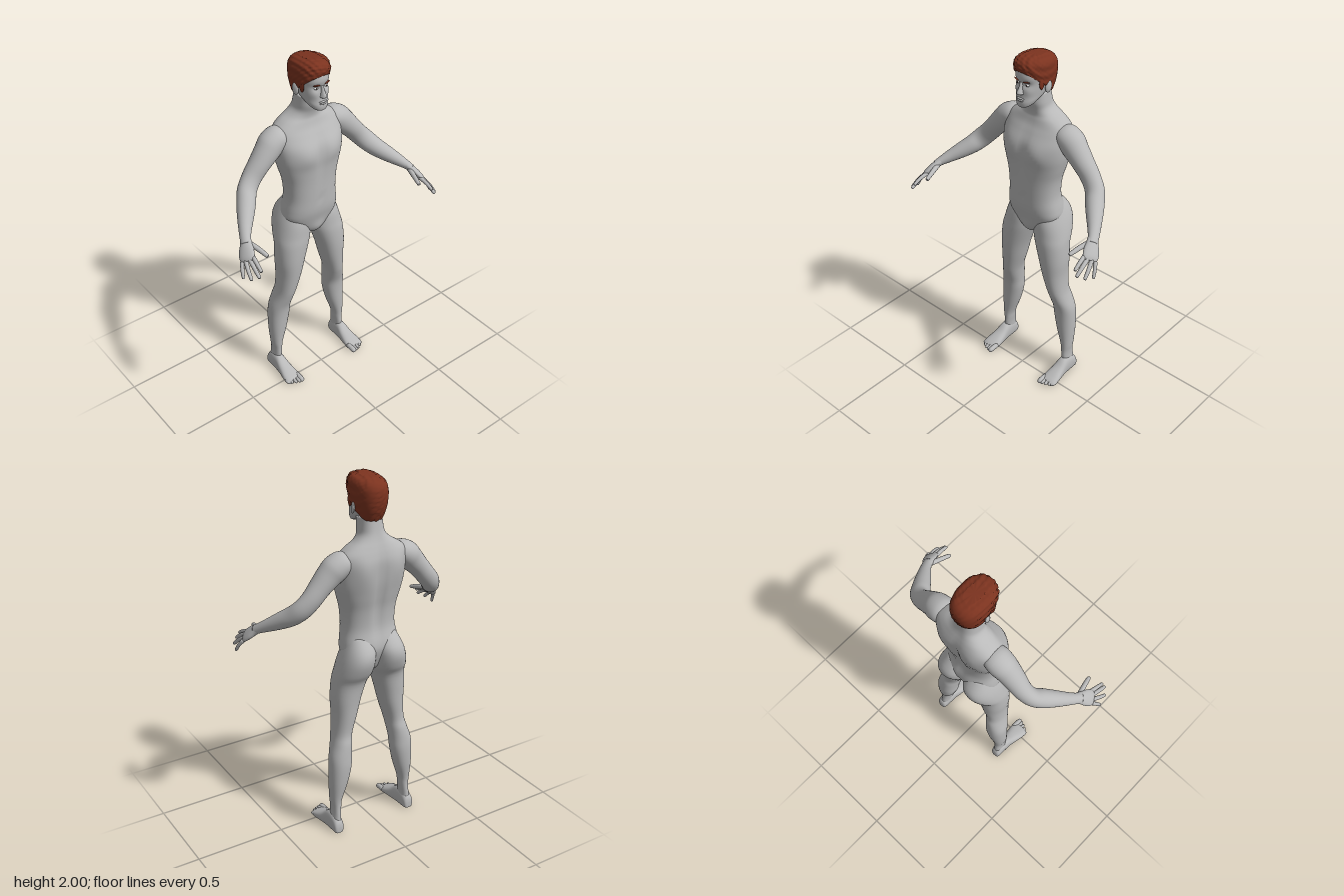
import * as THREE from 'three';

const mat = (name, color) => Object.assign(new THREE.MeshStandardMaterial({ color }), { name });
const skin = mat('skin', 0xb9b9b9);
const hairMat = mat('auburn hair', 0x7c331f);
const eyeMat = mat('eye white', 0xdedede);
const irisMat = mat('dark iris', 0x3a2a24);

const gauss = (d, w) => Math.exp(-(d * d) / (w * w));
const spow = (s, e) => Math.sign(s) * Math.abs(s) ** e;

// Smooth closed skin over elliptical rings: [centre xyz, axis u xyz, axis v xyz], growing along -(u x v)
function loft(rows, { n = 32, sub = 4, e = 1, bend } = {}) {
  const rings = [];
  const at = (i) => rows[Math.min(Math.max(i, 0), rows.length - 1)];
  for (let i = 0; i < rows.length - 1; i++) {
    for (let s = 0; s < sub; s++) {
      const t = s / sub, a = at(i - 1), b = at(i), c = at(i + 1), d = at(i + 2);
      rings.push(b.map((_, k) => b[k] + 0.5 * t * (c[k] - a[k]
        + t * (2 * a[k] - 5 * b[k] + 4 * c[k] - d[k] + t * (3 * (b[k] - c[k]) + d[k] - a[k])))));
    }
  }
  rings.push(at(rows.length - 1));
  const pos = [], idx = [];
  const add = (x, y, z) => {
    const p = new THREE.Vector3(x, y, z);
    if (bend) bend(p);
    pos.push(p.x, p.y, p.z);
  };
  for (const r of rings) {
    for (let j = 0; j < n; j++) {
      const a = (j / n) * Math.PI * 2, c = spow(Math.cos(a), e), s = spow(Math.sin(a), e);
      add(...[0, 1, 2].map((k) => r[k] + r[k + 3] * c + r[k + 6] * s));
    }
  }
  for (let i = 0; i < rings.length - 1; i++) {
    for (let j = 0; j < n; j++) {
      const a = i * n + j, b = i * n + (j + 1) % n;
      idx.push(a, a + n, b, b, a + n, b + n);
    }
  }
  const last = (rings.length - 1) * n, cap = rings.length * n;
  add(...rings[0].slice(0, 3));
  add(...rings[rings.length - 1].slice(0, 3));
  for (let j = 0; j < n; j++) {
    const k = (j + 1) % n;
    idx.push(cap, j, k, cap + 1, last + k, last + j);
  }
  const g = new THREE.BufferGeometry();
  g.setAttribute('position', new THREE.Float32BufferAttribute(pos, 3));
  g.setIndex(idx);
  g.computeVertexNormals();
  return g;
}

// Ring from x range, front point (y, z) and back point (y, z)
const slab = (x0, x1, yF, zF, yB, zB) => [(x0 + x1) / 2, (yF + yB) / 2, (zF + zB) / 2,
  (x1 - x0) / 2, 0, 0, 0, (yF - yB) / 2, (zF - zB) / 2];
const sym = ([w, yF, zF, yB, zB]) => slab(-w, w, yF, zF, yB, zB);

// Rings along a path of [x, y, z, radius along "wide", radius across]
function limb(points, wide = [0, 0, 1]) {
  const v3 = points.map((p) => new THREE.Vector3(p[0], p[1], p[2]));
  return points.map((p, i) => {
    const t = v3[Math.min(i + 1, v3.length - 1)].clone().sub(v3[Math.max(i - 1, 0)]).normalize();
    const u = new THREE.Vector3(...wide);
    u.addScaledVector(t, -u.dot(t)).normalize();
    const v = u.clone().cross(t).multiplyScalar(p[4] ?? p[3]);
    u.multiplyScalar(p[3]);
    return [p[0], p[1], p[2], ...u.toArray(), ...v.toArray()];
  });
}
// Finger or toe with a rounded tip
function digit(a, b, c, r) {
  const end = c.map((v, k) => v + (v - b[k]) * 0.12);
  return limb([[...a, r * 1.1], [...b, r], [...c, r * 0.8], [...end, r * 0.35]]);
}
// Mirrored rings keep their winding by turning v around
const mirror = (rows, s) => (s > 0 ? rows : rows.map((r) => r.map((v, k) => (k % 3 === 0 ? -v : v) * (k > 5 ? -1 : 1))));

// Chest relief, spine groove and navel
function torsoRelief(p) {
  const ax = Math.abs(p.x);
  if (p.z > -0.1) {
    p.z += 0.012 * gauss(ax - 0.085, 0.06) * gauss(p.y - 1.48, 0.06);
    p.z -= 0.008 * gauss(p.x, 0.02) * gauss(p.y - 1.45, 0.13);
    p.z -= 0.008 * gauss(p.x, 0.012) * gauss(p.y - 1.19, 0.012);
    p.z += 0.012 * gauss(p.x, 0.035) * gauss(p.y - 0.99, 0.035);
  } else {
    p.z += 0.018 * gauss(p.x, 0.025) * gauss(p.y - 1.38, 0.22);
    p.z -= 0.012 * gauss(ax - 0.1, 0.05) * gauss(p.y - 1.53, 0.08);
  }
}
// Eye sockets and cheeks
function faceRelief(p) {
  if (p.z < -0.06) return;
  const ax = Math.abs(p.x);
  p.z -= 0.009 * gauss(ax - 0.03, 0.018) * gauss(p.y - 1.86, 0.014);
  p.z += 0.005 * gauss(ax - 0.045, 0.02) * gauss(p.y - 1.825, 0.02);
}
// Tousled hair surface
function tousle(p) {
  const k = 0.0016 * (Math.sin(p.x * 210 + p.y * 130) + Math.sin(p.z * 230 - p.x * 90) * Math.cos(p.y * 260));
  p.x += k * Math.sign(p.x);
  p.y += k * 0.7;
  p.z += k;
}

export function createModel() {
  const model = new THREE.Group();
  model.name = 'standingFigure';
  const part = (name, geometry, material = skin) => {
    const m = new THREE.Mesh(geometry, material);
    m.name = name;
    model.add(m);
    return m;
  };
  const ball = (name, material, pos, scale) => {
    const m = part(name, new THREE.SphereGeometry(1, 20, 14), material);
    m.position.set(...pos);
    m.scale.set(...scale);
    return m;
  };

  // Torso and neck: half width, front y z, back y z
  part('torso', loft([
    [0.015, 0.935, -0.09, 0.94, -0.15], [0.045, 0.95, -0.055, 0.965, -0.18], [0.11, 0.99, -0.034, 1.0, -0.2],
    [0.162, 1.06, -0.015, 1.07, -0.225], [0.162, 1.12, -0.003, 1.12, -0.226], [0.15, 1.2, 0, 1.2, -0.208],
    [0.157, 1.3, 0.002, 1.3, -0.212], [0.178, 1.38, 0.006, 1.38, -0.227], [0.194, 1.45, 0.01, 1.45, -0.238],
    [0.2, 1.52, 0.0, 1.52, -0.242], [0.198, 1.575, -0.028, 1.575, -0.242], [0.185, 1.612, -0.05, 1.615, -0.234],
    [0.145, 1.642, -0.062, 1.65, -0.222], [0.1, 1.665, -0.068, 1.68, -0.21], [0.071, 1.695, -0.064, 1.71, -0.2],
    [0.064, 1.735, -0.052, 1.745, -0.192], [0.06, 1.78, -0.05, 1.8, -0.182],
  ].map(sym), { n: 56, e: 0.85, bend: torsoRelief }));

  // Head
  part('head', loft([
    [0.02, 1.732, 0.003, 1.75, -0.05], [0.045, 1.738, 0.017, 1.77, -0.09], [0.061, 1.762, 0.021, 1.8, -0.14],
    [0.068, 1.79, 0.016, 1.82, -0.17], [0.074, 1.83, 0.012, 1.85, -0.19], [0.078, 1.865, 0.01, 1.875, -0.2],
    [0.08, 1.9, 0.016, 1.9, -0.205], [0.077, 1.94, 0.006, 1.94, -0.198], [0.06, 1.97, -0.025, 1.97, -0.175],
    [0.025, 1.982, -0.06, 1.982, -0.13],
  ].map(sym), { n: 56, e: 0.9, bend: faceRelief }));
  part('nose', loft([
    [0.012, 1.808, 0.02, 1.806, -0.01], [0.018, 1.812, 0.036, 1.815, -0.01], [0.014, 1.824, 0.038, 1.825, -0.01],
    [0.01, 1.845, 0.025, 1.845, -0.01], [0.008, 1.872, 0.015, 1.872, -0.01],
  ].map(sym), { n: 16 }));
  ball('upperLip', skin, [0, 1.784, 0.014], [0.024, 0.005, 0.011]);
  ball('lowerLip', skin, [0, 1.774, 0.014], [0.021, 0.006, 0.011]);

  // Hair cap with a hairline sloping down to the nape
  part('hair', loft([
    [0.05, 1.935, 0.0, 1.775, -0.16], [0.079, 1.925, 0.014, 1.765, -0.178], [0.087, 1.943, 0.021, 1.82, -0.208],
    [0.088, 1.958, 0.021, 1.88, -0.222], [0.084, 1.975, 0.014, 1.935, -0.22], [0.067, 1.991, -0.007, 1.97, -0.198],
    [0.036, 1.998, -0.04, 1.988, -0.155],
  ].map(sym), { n: 72, sub: 8, e: 0.85, bend: tousle }), hairMat);

  for (const s of [1, -1]) {
    const side = s > 0 ? 'left' : 'right';
    const body = (name, rows, opt) => part(side + name, loft(mirror(rows, s), opt));

    // Face details
    ball(side + 'Ear', skin, [s * 0.084, 1.835, -0.1], [0.009, 0.032, 0.019]).rotation.set(-0.2, s * -0.3, 0);
    ball(side + 'Eye', eyeMat, [s * 0.03, 1.859, -0.003], [0.013, 0.006, 0.008]);
    ball(side + 'Iris', irisMat, [s * 0.03, 1.859, 0.003], [0.005, 0.005, 0.003]);
    ball(side + 'Brow', hairMat, [s * 0.033, 1.878, 0.007], [0.02, 0.0035, 0.005]).rotation.set(0, s * 0.3, s * 0.08);
    ball(side + 'Sideburn', hairMat, [s * 0.076, 1.865, -0.058], [0.007, 0.035, 0.018]);

    // Leg, buttock included: y, inner x, outer x, front z, back z
    body('Leg', [
      [0.03, 0.205, 0.262, -0.11, -0.19], [0.1, 0.205, 0.252, -0.1, -0.185], [0.15, 0.2, 0.252, -0.1, -0.18],
      [0.2, 0.193, 0.258, -0.098, -0.182], [0.3, 0.16, 0.263, -0.092, -0.198], [0.4, 0.137, 0.262, -0.088, -0.206],
      [0.47, 0.132, 0.256, -0.08, -0.203], [0.54, 0.125, 0.235, -0.058, -0.195], [0.6, 0.115, 0.222, -0.042, -0.182],
      [0.7, 0.085, 0.216, -0.028, -0.188], [0.8, 0.058, 0.22, -0.02, -0.195], [0.9, 0.025, 0.215, -0.02, -0.207],
      [0.96, 0.005, 0.206, -0.025, -0.24], [1.03, 0.002, 0.188, -0.032, -0.262], [1.09, 0.004, 0.166, -0.05, -0.252],
      [1.16, 0.02, 0.135, -0.08, -0.2],
    ].map(([y, x0, x1, zF, zB]) => slab(x0, x1, y, zF, y, zB)), { n: 36, e: 0.92 });

    // Foot from heel to ball, with a flat sole: z, centre x, half width, height
    body('Foot', [
      [-0.2, 0.234, 0.014, 0.035], [-0.19, 0.234, 0.028, 0.07], [-0.15, 0.233, 0.032, 0.1], [-0.1, 0.233, 0.034, 0.1],
      [-0.05, 0.233, 0.041, 0.068], [0, 0.234, 0.049, 0.045], [0.035, 0.234, 0.049, 0.03], [0.05, 0.232, 0.04, 0.02],
    ].map(([z, x, w, h]) => [x, h * 0.42, z, w, 0, 0, 0, -h * 0.58, 0]),
    { n: 28, e: 0.85, bend: (p) => { p.y = Math.max(p.y, 0.002); } });
    for (let i = 0; i < 5; i++) {
      const x = 0.198 + i * 0.0195, z = 0.072 - i * i * 0.0022, r = i ? 0.0095 : 0.015;
      body('Toe' + (i + 1), limb([[x, 0.018, 0.015, r], [x, 0.016, z - 0.02, r], [x, 0.013, z, r * 0.9],
        [x, 0.011, z + 0.008, r * 0.4]], [1, 0, 0]), { n: 12, sub: 3, bend: (p) => { p.y = Math.max(p.y, 0.002); } });
    }

    // Arm from shoulder to wrist
    body('Arm', limb([
      [0.12, 1.585, -0.14, 0.05, 0.035], [0.17, 1.575, -0.14, 0.07, 0.062], [0.215, 1.55, -0.138, 0.072, 0.07],
      [0.25, 1.515, -0.133, 0.066, 0.066], [0.3, 1.463, -0.13, 0.058, 0.057], [0.35, 1.405, -0.127, 0.05, 0.054],
      [0.395, 1.355, -0.108, 0.048, 0.054], [0.43, 1.316, -0.068, 0.05, 0.05], [0.47, 1.282, -0.018, 0.044, 0.043],
      [0.51, 1.25, 0.033, 0.035, 0.033], [0.54, 1.225, 0.075, 0.029, 0.024], [0.555, 1.21, 0.1, 0.028, 0.02],
    ]), { n: 32 });

    // Hand
    body('Palm', limb([
      [0.535, 1.23, 0.068, 0.027, 0.02], [0.55, 1.212, 0.095, 0.032, 0.021], [0.567, 1.19, 0.122, 0.042, 0.019],
      [0.582, 1.168, 0.147, 0.043, 0.016], [0.589, 1.156, 0.16, 0.034, 0.01],
    ], [0.04, -0.03, -0.045]), { n: 24 });
    [
      ['IndexFinger', [0.56, 1.178, 0.165], [0.567, 1.163, 0.21], [0.571, 1.142, 0.25], 0.0105],
      ['MiddleFinger', [0.577, 1.167, 0.16], [0.584, 1.143, 0.212], [0.587, 1.115, 0.255], 0.011],
      ['RingFinger', [0.593, 1.155, 0.15], [0.608, 1.127, 0.193], [0.616, 1.098, 0.228], 0.0105],
      ['LittleFinger', [0.606, 1.146, 0.137], [0.622, 1.115, 0.16], [0.63, 1.083, 0.178], 0.0095],
      ['Thumb', [0.538, 1.212, 0.1], [0.52, 1.2, 0.162], [0.507, 1.185, 0.213], 0.013],
    ].forEach(([name, a, b, c, r]) => body(name, digit(a, b, c, r), { n: 14 }));
  }
  return model;
}
